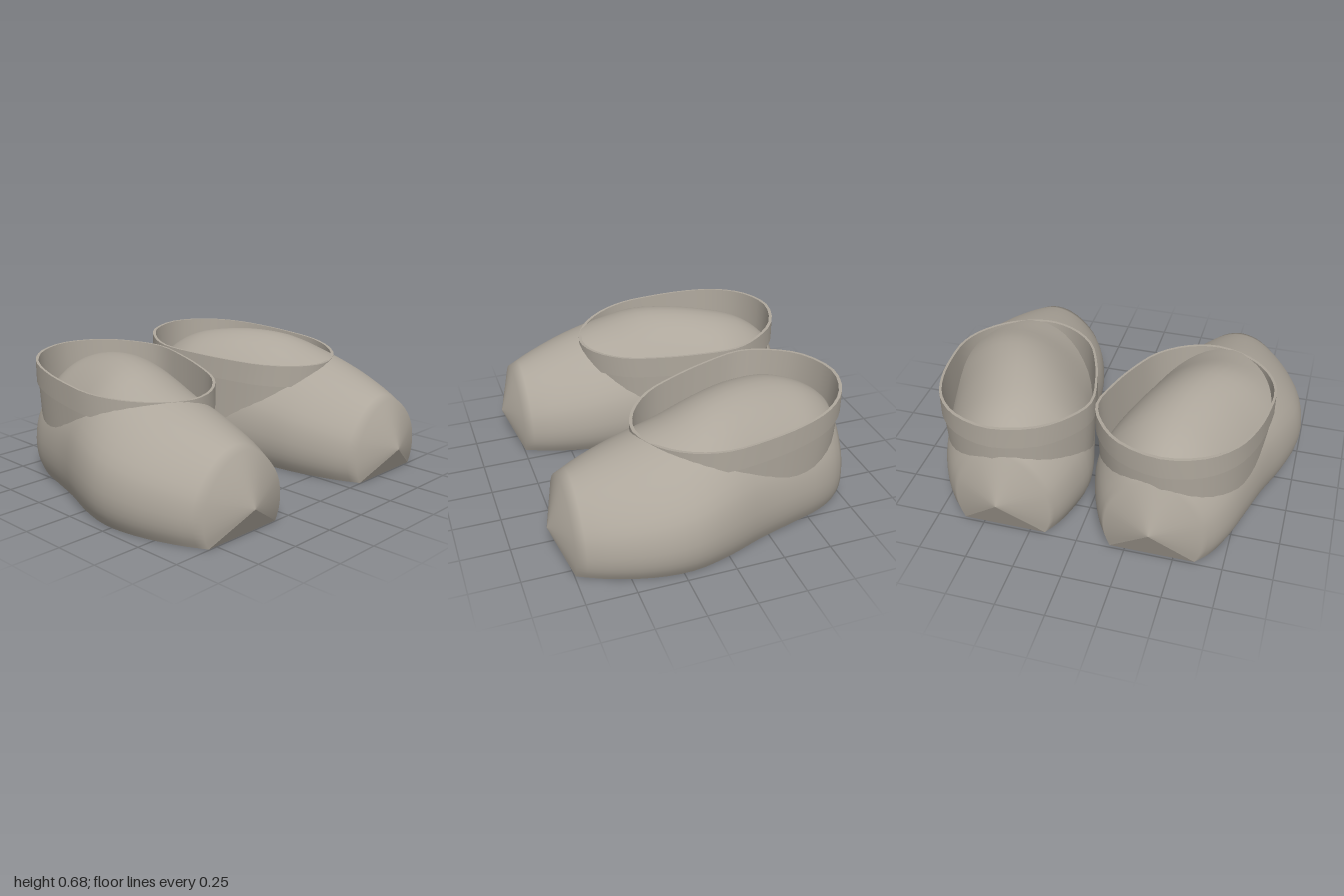
import * as THREE from 'three';

// Stations from toe to heel: [z, inner x, outer x, top y]
const STATIONS = [
  [0.745, 0.31, 0.83, 0.41], [0.6, 0.24, 0.91, 0.47], [0.4, 0.18, 0.98, 0.54],
  [0.2, 0.15, 1.0, 0.6], [0.0, 0.115, 0.955, 0.662], [-0.2, 0.06, 0.88, 0.675],
  [-0.4, 0.015, 0.82, 0.65], [-0.55, 0.045, 0.77, 0.605], [-0.66, 0.09, 0.71, 0.54],
  [-0.735, 0.14, 0.64, 0.47],
];
const TOE = [0.575, 0.15, 0.825];
const HEEL = [0.39, 0.21, -0.83];

// Half cross-section: [share of half width, share of height]
const SECTION = [[0.87, 0], [0.97, 0.14], [1, 0.33], [0.92, 0.56], [0.68, 0.78], [0.36, 0.94]];

// Plan of the ankle opening: [x, z]
const OPENING = [
  [0.42, -0.76], [0.2, -0.69], [0.07, -0.55], [0.01, -0.4], [0.04, -0.2], [0.1, 0],
  [0.19, 0.19], [0.34, 0.32], [0.5, 0.36], [0.68, 0.29], [0.8, 0.16], [0.86, 0],
  [0.855, -0.2], [0.82, -0.4], [0.75, -0.57], [0.62, -0.7],
];

// Joins rings of points into a surface; side = -1 mirrors it in x
function loft(rings, side, closed = false, flat = false) {
  const n = rings[0].length;
  const positions = [], index = [];
  for (const ring of rings) for (const [x, y, z] of ring) positions.push(x * side, y, z);
  const tri = (a, b, c) => (side > 0 ? index.push(a, b, c) : index.push(a, c, b));
  for (let j = 0; j < rings.length - 1; j++) {
    for (let i = 0; i < (closed ? n : n - 1); i++) {
      const k = (i + 1) % n;
      const a = j * n + i, b = a + n, c = j * n + k, d = c + n;
      tri(a, b, c);
      tri(b, d, c);
    }
  }
  let g = new THREE.BufferGeometry();
  g.setAttribute('position', new THREE.Float32BufferAttribute(positions, 3));
  g.setIndex(index);
  if (flat) g = g.toNonIndexed();
  g.computeVertexNormals();
  return g;
}

// Smooth stations along the shoe
function bodyStations() {
  const plan = new THREE.CatmullRomCurve3(
    STATIONS.map(([z, a, b]) => new THREE.Vector3(a, b, z)), false, 'catmullrom');
  const crest = new THREE.CatmullRomCurve3(
    STATIONS.map((s) => new THREE.Vector3(s[3], 0, 0)), false, 'catmullrom');
  return Array.from({ length: 28 }, (_, i) => {
    const p = plan.getPoint(i / 27);
    return { z: p.z, mid: (p.x + p.y) / 2, half: (p.y - p.x) / 2, top: crest.getPoint(i / 27).x };
  });
}

function createShoe(side, material) {
  const shoe = new THREE.Group();
  const add = (name, geometry) => {
    const mesh = new THREE.Mesh(geometry, material);
    mesh.name = name;
    shoe.add(mesh);
  };

  // Rounded upper, closed by a blunt point at toe and heel
  const stations = bodyStations();
  const half = SECTION.map(([u, v]) => new THREE.Vector2(u, v));
  const mirrored = SECTION.map(([u, v]) => new THREE.Vector2(-u, v)).reverse();
  const section = new THREE.SplineCurve([...half, new THREE.Vector2(0, 1), ...mirrored]).getPoints(36);
  const rings = stations.map((s) =>
    section.map((p) => [s.mid + p.x * s.half, Math.max(0, p.y) * s.top, s.z]));
  add('upper', loft([section.map(() => TOE), ...rings, section.map(() => HEEL)], side));

  // Flat sole with bevelled ends
  const soleRings = stations.map((s) => [
    [s.mid - SECTION[0][0] * s.half, 0, s.z], [s.mid + SECTION[0][0] * s.half, 0, s.z]]);
  add('sole', loft([[TOE, TOE], ...soleRings, [HEEL, HEEL]], side, false, true));

  // Ankle opening: rings inset from the plan, tilted up towards the heel
  const plan = new THREE.CatmullRomCurve3(
    OPENING.map(([x, z]) => new THREE.Vector3(x, 0, z)), true).getPoints(48).slice(0, -1);
  const ring = (inset, drop) => plan.map((p) => {
    const k = 1 - inset / 0.45;
    return [0.45 + (p.x - 0.45) * k, 0.588 - 0.082 * p.z - drop, -0.2 + (p.z + 0.2) * k];
  });
  const collar = [
    ['collarLining', ring(0.03, 0.32), ring(0.014, 0)],
    ['collarRim', ring(0.014, 0), ring(0, 0)],
    ['collarBand', ring(0, 0), ring(0, 0.115)],
    ['collarBandEdge', ring(0, 0.115), ring(0.01, 0.115)],
    ['ankleWall', ring(0.01, 0.115), ring(0.022, 0.35)],
  ];
  for (const [name, from, to] of collar) add(name, loft([from, to], side, true));
  return shoe;
}

export function createModel() {
  const material = new THREE.MeshStandardMaterial({ color: 0xaea79c, side: THREE.DoubleSide });
  material.name = 'warm grey';
  const model = new THREE.Group();
  model.name = 'pairOfShoes';
  for (const [name, side] of [['leftShoe', 1], ['rightShoe', -1]]) {
    const shoe = createShoe(side, material);
    shoe.name = name;
    model.add(shoe);
  }
  return model;
}
